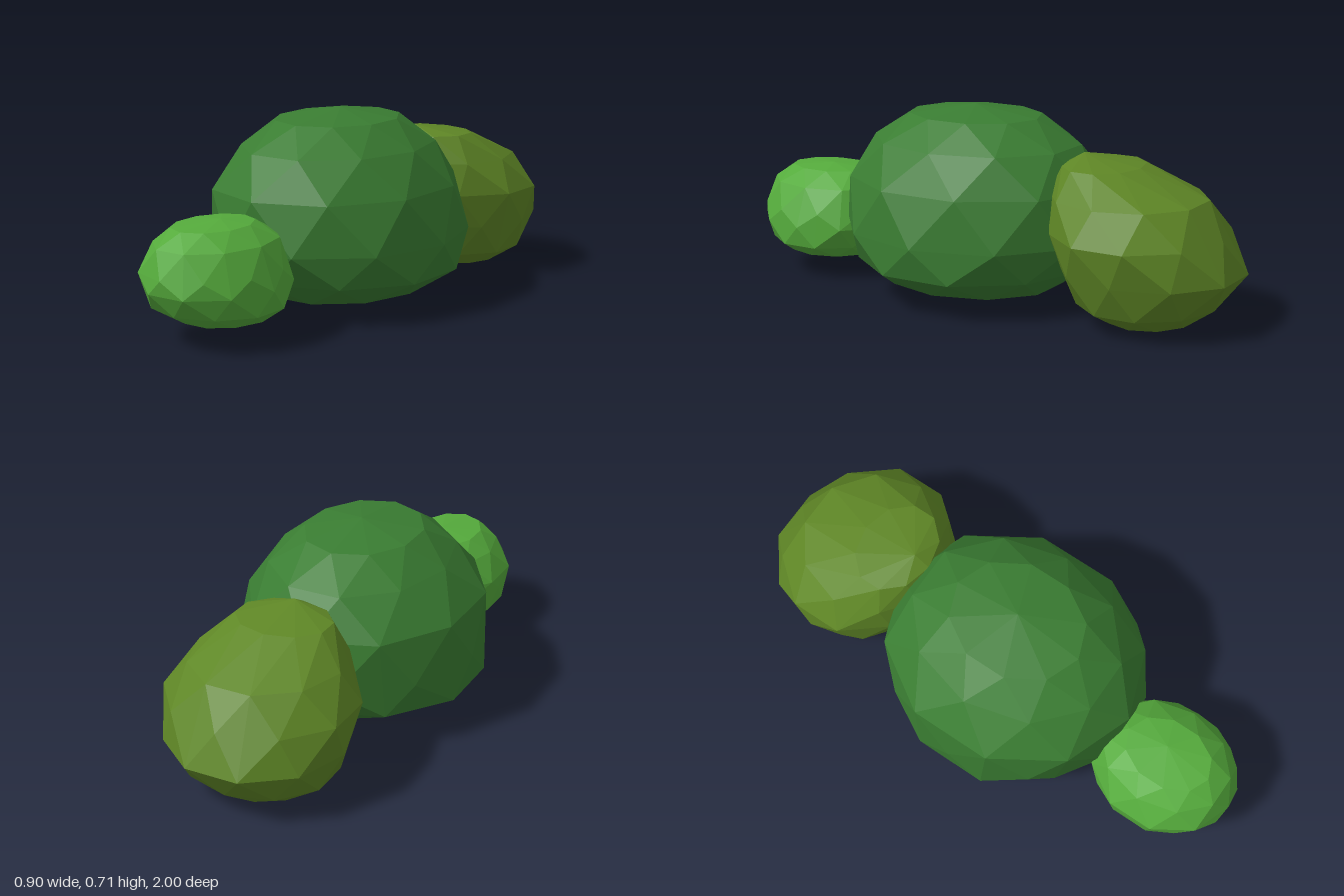
import * as THREE from 'three';
import { ConvexGeometry } from 'three/addons/geometries/ConvexGeometry.js';

const SIDES = 10;

// Faceted clump: convex hull of staggered rings, each fitted to its own x and z limits.
// rings: [y, xMin, xMax, zMin, zMax]; tips: [x, y, z] for the lowest and highest points.
function clump(name, color, rings, tips) {
  const points = tips.map((t) => new THREE.Vector3(...t));
  rings.forEach(([y, x0, x1, z0, z1], r) => {
    const angles = Array.from({ length: SIDES }, (_, i) => ((i + (r % 2) / 2) * 2 * Math.PI) / SIDES);
    const maxC = Math.max(...angles.map((a) => Math.abs(Math.cos(a))));
    const maxS = Math.max(...angles.map((a) => Math.abs(Math.sin(a))));
    for (const a of angles) {
      points.push(new THREE.Vector3(
        (x0 + x1) / 2 + ((x1 - x0) / 2) * Math.cos(a) / maxC,
        y,
        (z0 + z1) / 2 + ((z1 - z0) / 2) * Math.sin(a) / maxS
      ));
    }
  });
  const material = new THREE.MeshStandardMaterial({ color, flatShading: true });
  const mesh = new THREE.Mesh(new ConvexGeometry(points), material);
  mesh.name = name;
  return mesh;
}

export function createModel() {
  const group = new THREE.Group();
  group.name = 'bushes';

  // Large middle bush
  group.add(clump('middleBush', 0x3a7d32, [
    [0.06, -0.28, 0.305, -0.27, 0.37],
    [0.14, -0.44, 0.415, -0.39, 0.49],
    [0.26, -0.45, 0.45, -0.43, 0.53],
    [0.44, -0.43, 0.39, -0.44, 0.545],
    [0.58, -0.335, 0.32, -0.33, 0.43],
    [0.675, -0.21, 0.195, -0.2, 0.31],
  ], [[0, 0.04, 0.04], [0, 0.712, 0.05]]));

  // Small bright bush in front
  group.add(clump('frontBush', 0x55ab3c, [
    [0.082, -0.15, 0.15, 0.54, 0.87],
    [0.125, -0.25, 0.2, 0.49, 0.95],
    [0.2, -0.265, 0.215, 0.45, 0.99],
    [0.255, -0.27, 0.19, 0.45, 1.0],
    [0.345, -0.225, 0.16, 0.48, 0.955],
    [0.4, -0.155, 0.08, 0.56, 0.895],
  ], [[0, 0.066, 0.7], [-0.02, 0.415, 0.71]]));

  // Leaning olive bush behind
  group.add(clump('backBush', 0x5f8726, [
    [0.02, -0.17, 0.19, -0.83, -0.53],
    [0.08, -0.25, 0.28, -0.92, -0.42],
    [0.2, -0.31, 0.34, -1.0, -0.36],
    [0.33, -0.31, 0.36, -0.95, -0.33],
    [0.45, -0.25, 0.3, -0.86, -0.32],
    [0.55, -0.15, 0.19, -0.63, -0.35],
  ], [[0, 0, -0.64], [0.02, 0.585, -0.41]]));

  return group;
}
